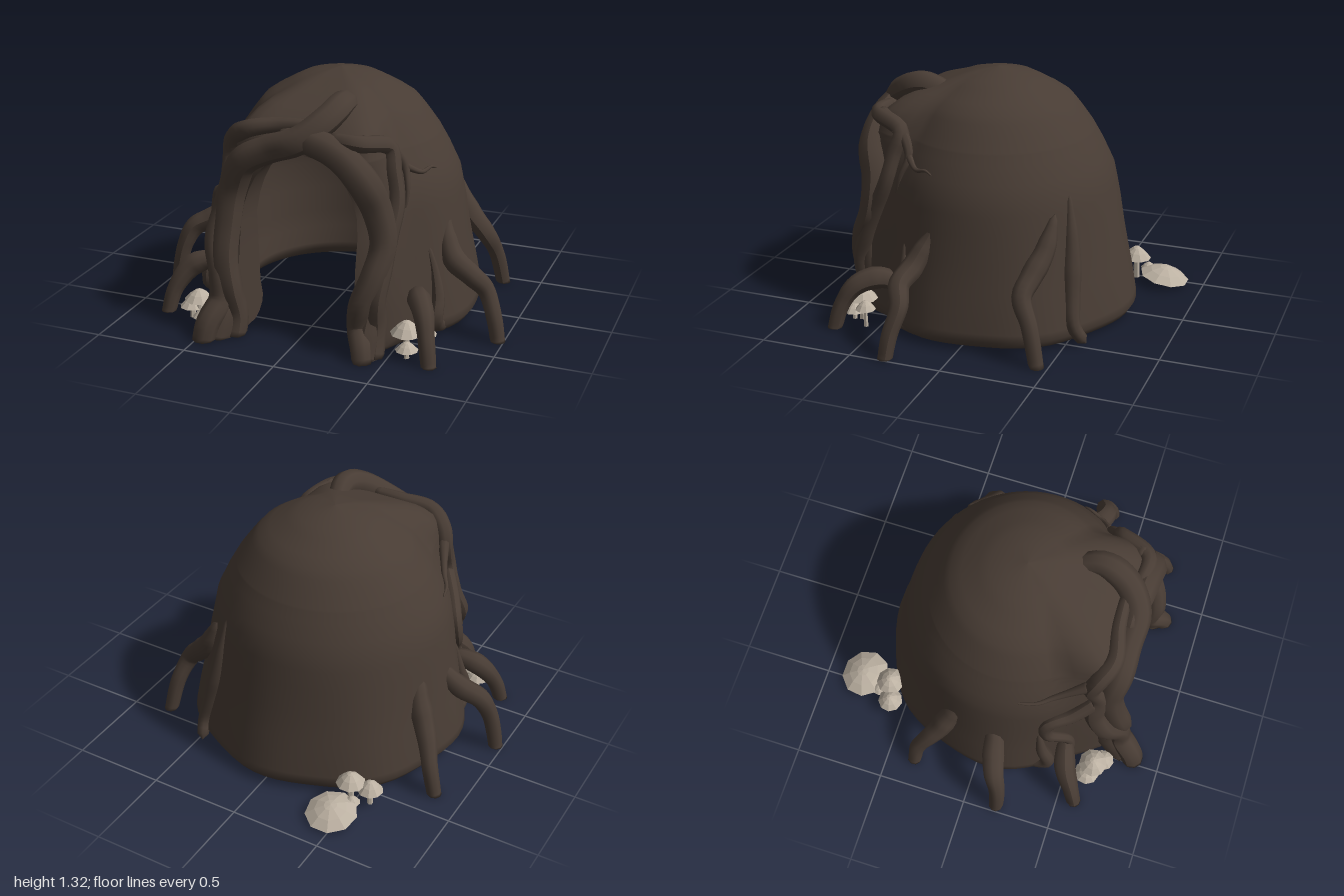
import * as THREE from 'three';

const bark = new THREE.MeshStandardMaterial({ color: 0x483c34 });
bark.name = 'bark';
const fungus = new THREE.MeshStandardMaterial({ color: 0xbcb1a2 });
fungus.name = 'mushroom';

// Piecewise linear lookup in [[y, value], ...]
function lookup(table, y) {
  for (let i = 1; i < table.length; i++) {
    const [y0, v0] = table[i - 1], [y1, v1] = table[i];
    if (y <= y1) return v0 + (v1 - v0) * (y - y0) / (y1 - y0);
  }
  return table[table.length - 1][1];
}

// Radius against height: side and back, hooded front, hollow inside
const SIDE = [[0, 0.69], [0.02, 0.74], [0.06, 0.768], [0.2, 0.745], [0.4, 0.705], [0.6, 0.675], [0.78, 0.64], [0.9, 0.585],
  [1, 0.53], [1.1, 0.46], [1.16, 0.41], [1.22, 0.32], [1.28, 0.2], [1.31, 0.07], [1.32, 0]];
const FRONT = [[0, 0.71], [0.3, 0.7], [0.5, 0.68], [0.65, 0.635], [0.8, 0.61], [1, 0.61], [1.08, 0.59], [1.15, 0.51],
  [1.2, 0.41], [1.25, 0.26], [1.29, 0.16], [1.31, 0.07], [1.32, 0]];
const INSIDE = [[0, 0.61], [0.02, 0.565], [0.06, 0.53], [0.1, 0.52], [0.2, 0.54], [0.6, 0.55], [0.85, 0.48], [1, 0.39],
  [1.1, 0.24], [1.14, 0.13], [1.16, 0]];

// The front is flattened between the door posts and blends into the round sides
function outerR(t, y) {
  const c = Math.cos(t), f = THREE.MathUtils.smoothstep(c, 0.6, 0.9);
  const folds = 0.012 * Math.sin(7 * t - 1) * Math.max(0, 1 - y / 0.7);
  return lookup(SIDE, y) * (1 - f) + lookup(FRONT, y) / Math.max(c, 0.88) * f + folds;
}
const innerR = (t, y) => lookup(INSIDE, y);
function at(radius, t, y, lift = 0) {
  const r = radius(t, y) + lift;
  return new THREE.Vector3(r * Math.sin(t), y, 0.02 + 0.03 * y + 0.96 * r * Math.cos(t));
}
// Angle at which the surface reaches a given x
function angleAt(radius, x, y) {
  let t = 0;
  for (let i = 0; i < 25; i++) {
    const next = Math.asin(THREE.MathUtils.clamp(x / Math.max(radius(t, y), 0.01), -1, 1));
    t = (t + next) / 2;
  }
  return t;
}
const doorHalf = y => y >= 1 ? 0 : y <= 0.6 ? 0.32 : 0.32 * Math.sqrt(1 - ((y - 0.6) / 0.4) ** 2);

// Surface through rows of points
function loft(rows) {
  const n = rows[0].length, index = [];
  for (let j = 0; j < rows.length - 1; j++) for (let i = 0; i < n - 1; i++) {
    const a = j * n + i, b = a + 1, c = b + n, d = a + n;
    index.push(a, b, c, a, c, d);
  }
  const g = new THREE.BufferGeometry().setFromPoints(rows.flat());
  g.setIndex(index);
  g.computeVertexNormals();
  return g;
}

function add(parent, name, geometry, material) {
  const m = new THREE.Mesh(geometry, material);
  m.name = name;
  parent.add(m);
  return m;
}

// Tapered root along a curve, flattened where it meets the ground
function root(parent, name, pts, radii) {
  const path = new THREE.CatmullRomCurve3(pts.map(p => p.isVector3 ? p : new THREE.Vector3(...p)));
  const segs = pts.length * 5, sides = 9;
  const g = new THREE.TubeGeometry(path, segs, 1, sides);
  const pos = g.attributes.position, v = new THREE.Vector3();
  const table = radii.map((r, i) => [i / (radii.length - 1), r]);
  for (let i = 0; i <= segs; i++) {
    const c = path.getPointAt(i / segs);
    const r = i === 0 || i === segs ? 0.002 : lookup(table, i / segs);
    for (let k = 0; k <= sides; k++) {
      const id = i * (sides + 1) + k;
      v.fromBufferAttribute(pos, id).sub(c).multiplyScalar(r).add(c);
      pos.setXYZ(id, v.x, Math.max(0, v.y), v.z);
    }
  }
  g.computeVertexNormals();
  add(parent, name, g, bark);
}
// Point on the front of the dome from x, y and height above the surface
const on = (x, y, lift = 0.02) => at(outerR, angleAt(outerR, x, y), y, lift);

function mushroom(parent, x, z, y, r, h, tilt = 0) {
  const g = new THREE.Group();
  g.name = 'mushroom';
  const profile = [[0.15 * r, 0.2 * h], [r, 0], [0.62 * r, 0.55 * h], [0.25 * r, 0.9 * h], [0, h]];
  const flat = geo => { const f = geo.toNonIndexed(); f.computeVertexNormals(); return f; };
  const cap = add(g, 'mushroomCap', flat(new THREE.LatheGeometry(profile.map(p => new THREE.Vector2(...p)), 9)), fungus);
  cap.position.y = y;
  cap.rotation.x = tilt;
  const len = y + 0.2 * h;
  add(g, 'mushroomStem', flat(new THREE.CylinderGeometry(r * 0.16, r * 0.24, len, 6)), fungus).position.y = len / 2;
  g.position.set(x, 0, z);
  parent.add(g);
}

export function createModel() {
  const model = new THREE.Group();
  model.name = 'hollowStump';

  // Hollow dome with a rounded rim and an arched doorway
  const doorYs = [0, 0.02, 0.06, 0.1, 0.2, 0.3, 0.45, 0.6, 0.7, 0.78, 0.85, 0.9, 0.94, 0.97, 0.99, 1];
  const N = 56;
  const ring = (radius, y) => {
    const a = angleAt(radius, doorHalf(y), y);
    return Array.from({ length: N + 1 }, (_, i) => at(radius, a + (2 * Math.PI - 2 * a) * i / N, y));
  };
  const outer = [...doorYs, 1.04, 1.08, 1.12, 1.16, 1.2, 1.25, 1.28, 1.3, 1.312, 1.32].map(y => ring(outerR, y));
  const inner = [...doorYs, 1.04, 1.08, 1.11, 1.14, 1.16].map(y => ring(innerR, y));
  add(model, 'domeShell', loft([...[...inner].reverse(), ...outer]), bark);
  const edge = rows => {
    const r = rows.slice(0, doorYs.length);
    return [...r.map(p => p[0]), ...r.map(p => p[N]).reverse()];
  };
  add(model, 'doorJamb', loft([edge(outer), edge(inner)]), bark);

  // Roots framing the doorway
  root(model, 'archRootLeft', [[0.12, 1.17, 0.27], [0.15, 1.225, 0.42], [0.11, 1.17, 0.56], [0, 1.08, 0.65], on(-0.15, 1.02),
    on(-0.29, 0.94), on(-0.36, 0.78), on(-0.38, 0.6), on(-0.38, 0.42), on(-0.35, 0.25), [-0.34, 0.1, 0.7], [-0.35, -0.04, 0.73]],
  [0.05, 0.075, 0.075, 0.075, 0.08, 0.075, 0.07, 0.06, 0.065]);
  root(model, 'archRootRight', [on(-0.12, 1.08), on(0.05, 1.08), on(0.2, 1.03), on(0.32, 0.92), on(0.39, 0.76), on(0.43, 0.58),
    on(0.4, 0.42), on(0.35, 0.28), [0.34, 0.14, 0.7], [0.38, 0.06, 0.77], [0.4, -0.04, 0.8]],
  [0.04, 0.075, 0.08, 0.085, 0.075, 0.065, 0.06, 0.06, 0.05]);
  root(model, 'browRoot', [on(0.05, 1.14, 0.02), on(-0.12, 1.13), on(-0.28, 1.1), on(-0.38, 1.03), on(-0.41, 0.93), on(-0.4, 0.8),
    on(-0.44, 0.65), on(-0.45, 0.48, 0.04), on(-0.4, 0.34, 0.04), [-0.41, 0.19, 0.74], [-0.45, 0.08, 0.82], [-0.47, -0.04, 0.85]],
  [0.03, 0.04, 0.05, 0.045, 0.06, 0.06, 0.06, 0.07, 0.06]);
  root(model, 'browRoot', [on(0.14, 1.1), on(0.3, 1.09), on(0.4, 1.03), on(0.43, 0.92), on(0.46, 0.78), on(0.45, 0.62),
    on(0.44, 0.45), on(0.42, 0.3), [0.42, 0.14, 0.67], [0.42, -0.04, 0.72]],
  [0.03, 0.045, 0.045, 0.04, 0.045, 0.045, 0.05, 0.06, 0.06]);
  root(model, 'doorFoot', [on(-0.42, 0.45, 0), [-0.4, 0.22, 0.66], [-0.41, 0.08, 0.73], [-0.43, -0.05, 0.78]], [0.04, 0.08, 0.09, 0.08]);
  root(model, 'doorFoot', [on(0.42, 0.45, 0), [0.4, 0.22, 0.65], [0.39, 0.08, 0.7], [0.39, -0.05, 0.74]], [0.04, 0.07, 0.075, 0.07]);
  root(model, 'sideVine', [on(-0.4, 0.78), on(-0.5, 0.68), on(-0.58, 0.63, 0.01), on(-0.6, 0.5, 0.01), on(-0.55, 0.36, 0.01), on(-0.56, 0.2, 0)],
    [0.045, 0.04, 0.035, 0.03, 0.025]);

  // Thin twigs creeping over the dome
  root(model, 'twig', [on(0.3, 1.1, 0.03), on(0.4, 1.03, 0.02), on(0.46, 0.92, 0.01), on(0.49, 0.82, 0.01), on(0.5, 0.72, 0)], [0.04, 0.035, 0.02, 0.006]);
  root(model, 'twig', [on(0.46, 0.92, 0.01), on(0.53, 0.875, 0.008), on(0.555, 0.885, 0.01), on(0.575, 0.87, 0.005)], [0.02, 0.014, 0.01, 0.005]);
  root(model, 'twig', [on(-0.4, 0.98, 0.02), on(-0.5, 0.88, 0.012), on(-0.55, 0.86, 0.01), on(-0.585, 0.86, 0.005)], [0.035, 0.02, 0.012, 0.005]);

  // Standing roots round the base, each growing out of the wall
  const legs = [
    [[0.63, 0.62, 0.17], [0.65, 0.51, 0.22], [0.71, 0.4, 0.27], [0.81, 0.34, 0.3], [0.88, 0.26, 0.27], [0.94, 0.12, 0.3], [0.975, -0.04, 0.32]],
    [[0.46, 0.7, -0.42], [0.54, 0.52, -0.39], [0.63, 0.41, -0.35], [0.71, 0.33, -0.33], [0.76, 0.2, -0.39], [0.8, -0.04, -0.45]],
    [[0.56, 0.16, 0.38], [0.57, 0.24, 0.44], [0.6, 0.265, 0.52], [0.66, 0.23, 0.62], [0.7, 0.12, 0.69], [0.73, -0.04, 0.73]],
    [[-0.5, 0.3, 0.45], [-0.59, 0.29, 0.47], [-0.69, 0.25, 0.5], [-0.77, 0.13, 0.56], [-0.81, -0.04, 0.6]],
    [[-0.6, 0.55, 0.07], [-0.68, 0.44, 0.09], [-0.77, 0.37, 0.11], [-0.86, 0.32, 0.14], [-0.91, 0.22, 0.17], [-0.94, 0.1, 0.18], [-0.965, -0.04, 0.18]],
    [[-0.6, 0.6, -0.1], [-0.64, 0.46, -0.17], [-0.7, 0.34, -0.22], [-0.75, 0.26, -0.27], [-0.8, 0.15, -0.33], [-0.85, -0.04, -0.35]],
  ];
  legs.forEach(p => root(model, 'standingRoot', p, [0.015, 0.05, 0.062, 0.055, 0.045, 0.042, 0.038]));

  // Buttress ridges lying on the wall
  root(model, 'buttress', [[0.36, 0.78, -0.46], [0.4, 0.5, -0.49], [0.45, 0.25, -0.51], [0.49, 0.1, -0.54], [0.47, 0.01, -0.6]], [0.01, 0.04, 0.055, 0.045, 0.03]);
  root(model, 'buttress', [on(0.6, 0.5, -0.01), on(0.63, 0.36, 0), on(0.65, 0.22, 0.01), on(0.65, 0.1, 0.01), on(0.66, -0.03, 0.03)], [0.01, 0.035, 0.04, 0.035]);
  root(model, 'buttress', [on(-0.62, 0.5, -0.01), on(-0.64, 0.3, 0), on(-0.65, 0.12, 0.01), on(-0.68, -0.03, 0.03)], [0.01, 0.04, 0.04, 0.035]);

  // Mushroom clusters: x, z, cap height, cap radius, cap thickness, tilt
  [[-0.59, 0.64, 0.12, 0.08, 0.06], [-0.64, 0.62, 0.065, 0.07, 0.05], [-0.54, 0.69, 0.05, 0.06, 0.045],
    [0.575, 0.63, 0.12, 0.085, 0.07], [0.66, 0.57, 0.1, 0.055, 0.05], [0.59, 0.67, 0.045, 0.06, 0.045],
    [-0.58, -0.58, 0.09, 0.07, 0.06], [-0.48, -0.61, 0.12, 0.08, 0.065], [-0.52, -0.67, 0.05, 0.045, 0.035],
    [-0.46, -0.78, 0.04, 0.14, 0.06, -0.18],
  ].forEach(m => mushroom(model, ...m));

  return model;
}
